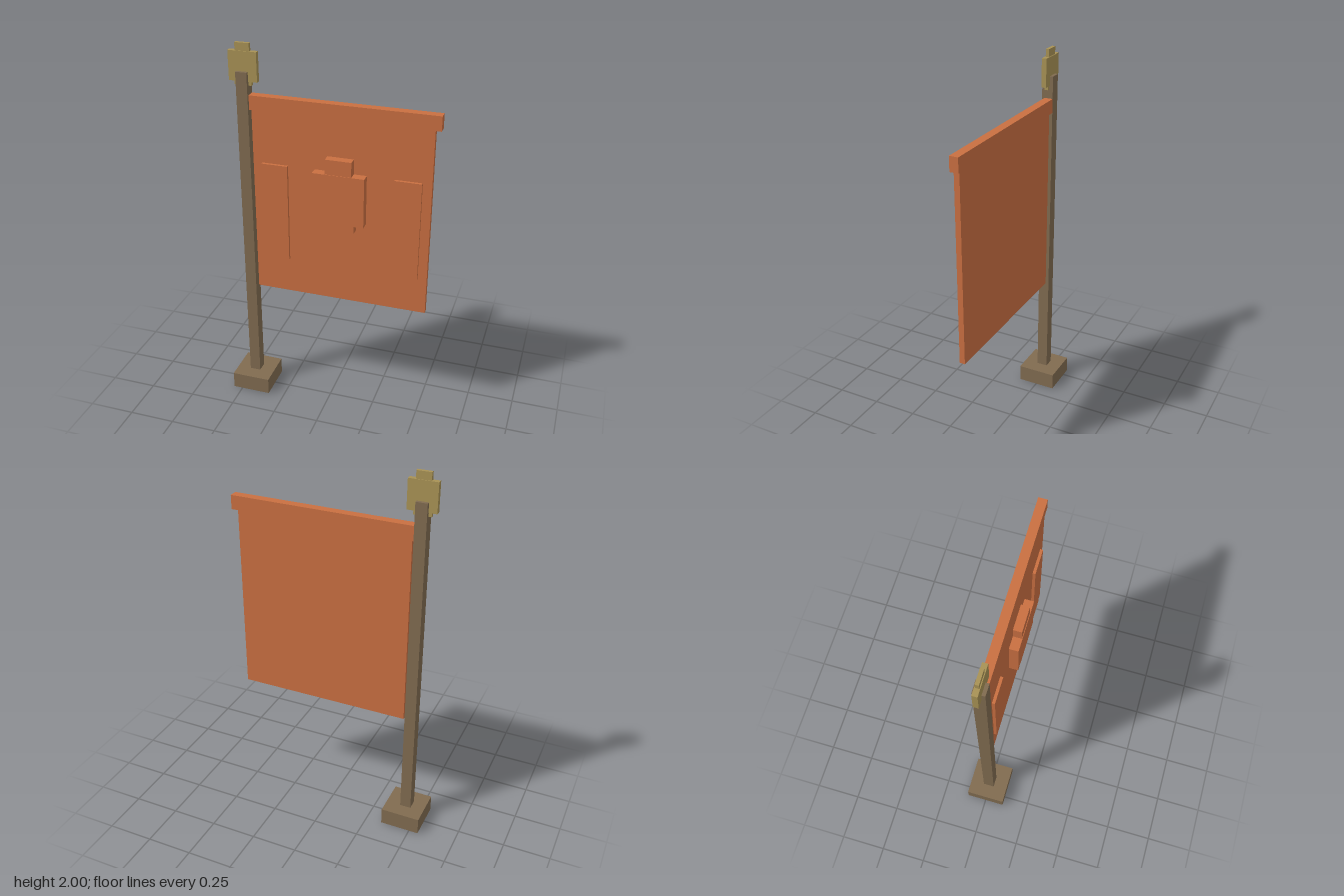
import * as THREE from 'three';

const material = (name, color) => {
  const m = new THREE.MeshStandardMaterial({ color });
  m.name = name;
  return m;
};

// Box given by its limits on each axis
function block(parent, name, mat, [x0, x1], [y0, y1], [z0, z1]) {
  const mesh = new THREE.Mesh(new THREE.BoxGeometry(x1 - x0, y1 - y0, z1 - z0), mat);
  mesh.position.set((x0 + x1) / 2, (y0 + y1) / 2, (z0 + z1) / 2);
  mesh.name = name;
  parent.add(mesh);
}

function subgroup(parent, name) {
  const g = new THREE.Group();
  g.name = name;
  parent.add(g);
  return g;
}

export function createModel() {
  const wood = material('brown wood', 0x806b50);
  const cloth = material('orange cloth', 0xc96f41);
  const brass = material('dull brass', 0xa89255);

  const model = new THREE.Group();
  model.name = 'bannerStand';

  // Foot and pole
  block(model, 'base', wood, [-0.55, -0.338], [0, 0.093], [-0.107, 0.107]);
  block(model, 'pole', wood, [-0.476, -0.417], [0.093, 1.86], [-0.03, 0.03]);

  // Finial on the pole top
  const finial = subgroup(model, 'finial');
  block(finial, 'finialBody', brass, [-0.518, -0.37], [1.81, 1.96], [-0.013, 0.013]);
  block(finial, 'finialTip', brass, [-0.482, -0.407], [1.96, 2], [-0.009, 0.009]);
  block(finial, 'finialCollar', brass, [-0.491, -0.402], [1.79, 1.81], [-0.009, 0.009]);

  // Banner hanging from its crossbar
  const banner = subgroup(model, 'banner');
  block(banner, 'crossbar', cloth, [-0.418, 0.547], [1.668, 1.743], [-0.03, 0.016]);
  block(banner, 'cloth', cloth, [-0.407, 0.518], [0.66, 1.668], [-0.017, 0.012]);

  // Raised side panels, mirrored about the cloth centre
  const centre = 0.056;
  for (const [side, s] of [['right', -1], ['left', 1]]) {
    const x = centre + s * 0.346;
    block(banner, `${side}Panel`, cloth, [x - 0.069, x + 0.069], [0.857, 1.393], [0.012, 0.027]);
  }

  // Raised emblem in three steps
  const emblem = subgroup(banner, 'emblem');
  block(emblem, 'emblemBody', cloth, [centre - 0.135, centre + 0.135], [1.127, 1.393], [0.012, 0.06]);
  block(emblem, 'emblemTop', cloth, [centre - 0.068, centre + 0.068], [1.393, 1.472], [0.012, 0.057]);
  block(emblem, 'emblemFoot', cloth, [centre - 0.083, centre + 0.083], [1.084, 1.127], [0.012, 0.057]);

  return model;
}
